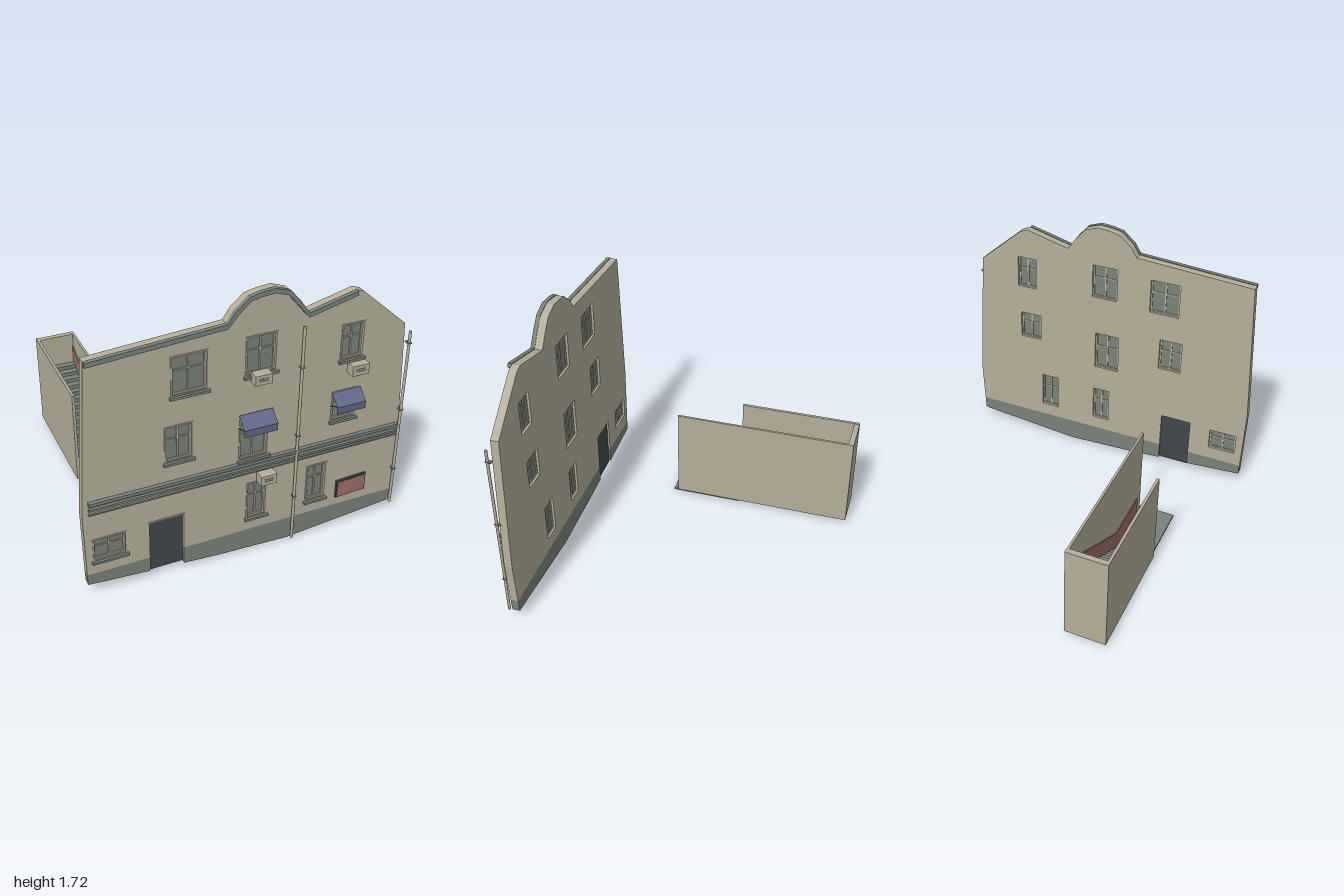
import * as THREE from 'three';

const paint = (name, color) => Object.assign(new THREE.MeshStandardMaterial({ color }), { name });

export function createModel() {
  const plaster = paint('plaster', 0xb5af9a);
  const stone = paint('grey stone', 0x79827a);
  const glass = paint('glass', 0x7a8379);
  const dark = paint('dark door', 0x40474a);
  const blue = paint('awning blue', 0x62688a);
  blue.side = THREE.DoubleSide;
  const red = paint('faded red', 0x9c7066);

  const root = new THREE.Group();
  root.name = 'buildingFront';
  const BACK = 0.813, FRONT = 0.863;

  const add = (name, geo, mat, parent = root) => {
    const m = new THREE.Mesh(geo, mat);
    m.name = name;
    parent.add(m);
    return m;
  };
  // box given by its limits
  const box = (name, mat, x0, x1, y0, y1, z0, z1, parent = root) => {
    const m = add(name, new THREE.BoxGeometry(x1 - x0, y1 - y0, z1 - z0), mat, parent);
    m.position.set((x0 + x1) / 2, (y0 + y1) / 2, (z0 + z1) / 2);
    return m;
  };
  const poly = (pts) => new THREE.Shape(pts.map(([x, y]) => new THREE.Vector2(x, y)));
  const rect = (x0, x1, y0, y1) => [[x0, y0], [x1, y0], [x1, y1], [x0, y1]];
  const slab = (name, mat, shape, z0, z1, parent = root) => {
    const g = new THREE.ExtrudeGeometry(shape, { depth: z1 - z0, bevelEnabled: false });
    g.translate(0, 0, z0);
    return add(name, g, mat, parent);
  };
  const ring = (name, mat, x0, x1, y0, y1, w, z0, z1, parent) => {
    const s = poly(rect(x0, x1, y0, y1));
    s.holes.push(poly(rect(x0 + w, x1 - w, y0 + w, y1 - w)));
    return slab(name, mat, s, z0, z1, parent);
  };

  // window openings: left, right, bottom, top
  const windows = [
    [-0.475, -0.275, 1.2, 1.435], [-0.045, 0.13, 1.22, 1.455], [0.54, 0.675, 1.18, 1.4],
    [-0.515, -0.36, 0.785, 1.01], [-0.07, 0.1, 0.675, 0.945], [0.51, 0.66, 0.785, 0.975],
    [-0.945, -0.76, 0.245, 0.39], [-0.012, 0.105, 0.245, 0.49], [0.378, 0.5, 0.245, 0.495],
  ];

  // wall with its curved gable
  const roofline = [[-0.945, 1.52], [-0.17, 1.568], [-0.13, 1.63], [-0.05, 1.7], [0.02, 1.715],
    [0.1, 1.722], [0.19, 1.69], [0.25, 1.62], [0.31, 1.535], [0.6, 1.607]];
  const wall = poly([[-0.992, 0.155], [-0.617, 0.155], [-0.617, 0.405], [-0.408, 0.405], [-0.408, 0.155],
    [0.98, 0.155], [0.995, 0.45], [0.945, 1.33], [0.65, 1.59], ...[...roofline].reverse(), [-1, 0.58]]);
  for (const [a, b, c, d] of windows) wall.holes.push(poly(rect(a, b, c, d)));
  slab('wall', plaster, wall, BACK, FRONT);

  // plinth on either side of the door
  slab('plinth', stone, poly([[-0.99, 0.085], [-0.617, 0.055], [-0.617, 0.155], [-0.992, 0.155]]), BACK, FRONT);
  slab('plinth', stone, poly([[-0.408, 0.04], [-0.2, 0.025], [0.26, 0.005], [0.975, 0.07], [0.98, 0.155],
    [-0.408, 0.155]]), BACK, FRONT);

  // gable trim: the roofline offset downwards
  const lower = roofline.map(([x, y], i) => {
    const p = roofline[Math.max(i - 1, 0)], q = roofline[Math.min(i + 1, roofline.length - 1)];
    const dx = q[0] - p[0], dy = q[1] - p[1], l = Math.hypot(dx, dy);
    return [x + dy / l * 0.024, y - dx / l * 0.024];
  });
  const raised = roofline.map(([x, y]) => [x, y + 0.004]);
  slab('gableTrim', stone, poly([...lower, ...raised.reverse()]), FRONT - 0.002, 0.887);

  // string courses, slightly tilted
  for (const [yl, yr, h, z] of [[0.65, 0.645, 0.02, 0.887], [0.61, 0.602, 0.014, 0.88], [0.576, 0.574, 0.009, 0.876]]) {
    slab('stringCourse', stone, poly([[-0.965, yl - h / 2], [0.965, yr - h / 2], [0.965, yr + h / 2],
      [-0.965, yl + h / 2]]), FRONT - 0.002, z);
  }

  // windows
  for (const [x0, x1, y0, y1] of windows) {
    const g = new THREE.Group();
    g.name = 'window';
    root.add(g);
    const cx = (x0 + x1) / 2, bar = y0 + (y1 - y0) * 0.62;
    box('pane', glass, x0, x1, y0, y1, 0.834, 0.84, g);
    ring('sash', plaster, x0, x1, y0, y1, 0.01, 0.828, 0.848, g);
    box('mullion', plaster, cx - 0.005, cx + 0.005, y0, y1, 0.829, 0.847, g);
    box('transom', plaster, x0, x1, bar - 0.004, bar + 0.004, 0.83, 0.846, g);
    ring('surround', plaster, x0 - 0.007, x1 + 0.007, y0 - 0.003, y1 + 0.007, 0.009, FRONT - 0.003, 0.868, g);
    box('sill', stone, x0 - 0.016, x1 + 0.016, y0 - 0.015, y0, 0.85, 0.883, g);
  }

  // door
  box('door', dark, -0.617, -0.408, 0.043, 0.4, 0.825, 0.84);
  box('doorLintel', plaster, -0.622, -0.403, 0.4, 0.41, 0.82, 0.868);

  // awnings: sloping top, hanging front, thin brace rods
  for (const [x0, x1] of [[-0.085, 0.12], [0.495, 0.68]]) {
    const top = [[0.984, 0.874], [0.925, 0.944], [0.878, 0.942]];
    const pos = [], idx = [0, 2, 1, 1, 2, 3, 2, 4, 3, 3, 4, 5];
    for (const [y, z] of top) pos.push(x0, y, z, x1, y, z);
    const g = new THREE.BufferGeometry();
    g.setAttribute('position', new THREE.Float32BufferAttribute(pos, 3));
    g.setIndex(idx);
    const flat = g.toNonIndexed();
    flat.computeVertexNormals();
    add('awning', flat, blue);
    for (const x of [x0 + 0.006, x1 - 0.006]) {
      const rod = new THREE.LineCurve3(new THREE.Vector3(x, 0.89, 0.864), new THREE.Vector3(x, 0.925, 0.941));
      add('awningBrace', new THREE.TubeGeometry(rod, 1, 0.003, 5), dark);
    }
  }

  // air conditioners with a louvred front
  for (const [x0, x1, y0, y1] of [[-0.02, 0.08, 1.185, 1.245], [0.585, 0.69, 1.098, 1.162], [0.04, 0.14, 0.502, 0.564]]) {
    box('airConditioner', plaster, x0, x1, y0, y1, 0.868, 0.928);
    for (const t of [0.4, 0.62]) {
      const y = y0 + (y1 - y0) * t;
      box('louvre', stone, x0 + 0.022, x1 - 0.022, y - 0.003, y + 0.003, 0.927, 0.93);
    }
  }

  // drainpipes with brackets
  for (const [x, y0, y1, z] of [[0.288, 0.01, 1.455, 0.88], [0.975, 0.07, 1.28, 0.882]]) {
    add('drainpipe', new THREE.CylinderGeometry(0.009, 0.009, y1 - y0, 10), plaster).position.set(x, (y0 + y1) / 2, z);
    for (const y of [0.32, 0.75, 1.2]) box('pipeBracket', stone, x - 0.011, x + 0.011, y, y + 0.008, 0.855, z + 0.011);
  }

  // notice board, slightly crooked
  slab('boardFrame', dark, poly([[0.58, 0.215], [0.78, 0.224], [0.78, 0.345], [0.58, 0.335]]), 0.86, 0.876);
  slab('noticeBoard', red, poly([[0.587, 0.223], [0.773, 0.231], [0.773, 0.337], [0.587, 0.328]]), 0.87, 0.88);

  // stairwell standing behind the wall
  const well = new THREE.Group();
  well.name = 'stairwell';
  root.add(well);
  box('longWall', plaster, -0.48, -0.465, 0.035, 0.667, -0.945, 0.245, well);
  box('shortWall', plaster, -0.728, -0.71, 0.035, 0.67, -0.945, -0.147, well);
  box('endWall', plaster, -0.71, -0.48, 0.035, 0.667, -0.945, -0.91, well);
  box('landing', stone, -0.71, -0.475, 0.02, 0.034, -0.19, 0.277, well);
  const steps = 16, run = 0.72 / steps, rise = 0.026;
  for (let i = 0; i < steps; i++) {
    box('step', stone, -0.71, -0.48, 0.034, 0.034 + rise * (i + 1), -0.19 - run * (i + 1), -0.19 - run * i, well);
  }
  // painted dado following the landing and the stairs (profile in z, y)
  const top = 0.034 + rise * steps;
  const dado = slab('dado', red, poly([[-0.18, 0.036], [0.19, 0.036], [0.91, top], [0.91, top + 0.13],
    [0.19, 0.175], [-0.18, 0.175]]), 0, 0.006, well);
  dado.rotation.y = Math.PI / 2;
  dado.position.x = -0.486;

  return root;
}
